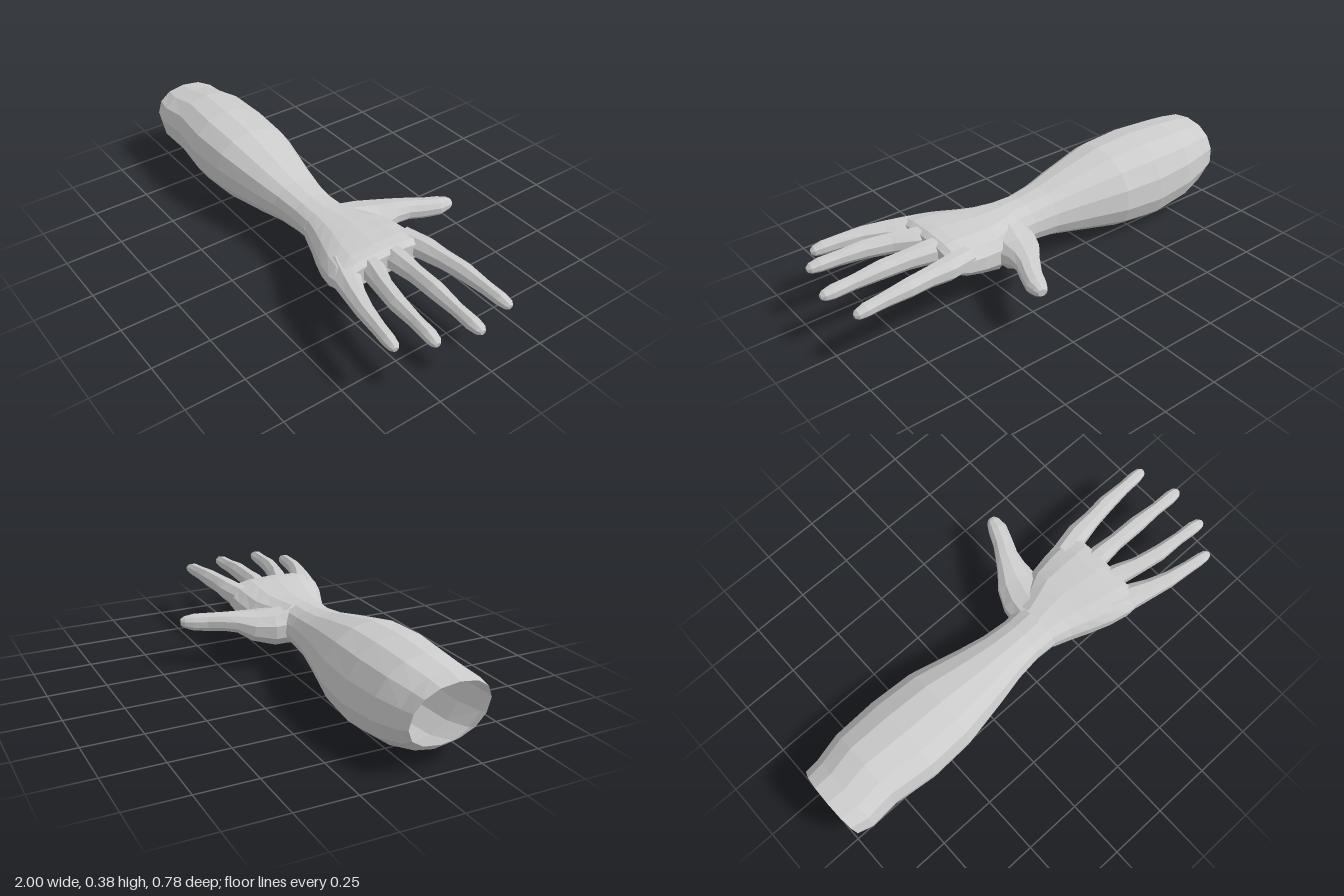
import * as THREE from 'three';

const material = new THREE.MeshStandardMaterial({ color: 0xcccccc, flatShading: true, side: THREE.DoubleSide });
const UP = new THREE.Vector3(0, 1, 0);

// Lofts rings [x, y, z, halfWidth, halfHeight] along their path.
function loft(name, rings, { sides = 8, power = 2, axis = null, shear = 0, slant = 0, capEnd = true } = {}) {
  const centres = rings.map(([x, y, z]) => new THREE.Vector3(x, y, z));
  const pos = [], index = [];
  rings.forEach(([, , , w, h], i) => {
    const t = axis ? axis.clone() : centres[Math.min(i + 1, rings.length - 1)].clone()
      .sub(centres[Math.max(i - 1, 0)]).normalize();
    const side = UP.clone().cross(t).normalize();
    const up = t.clone().cross(side);
    for (let j = 0; j < sides; j++) {
      const a = ((j + 0.5) / sides) * Math.PI * 2;
      const round = (v) => Math.sign(v) * Math.abs(v) ** (2 / power);
      const dv = round(Math.sin(a)) * h;
      const p = centres[i].clone()
        .addScaledVector(side, round(Math.cos(a)) * w - dv * shear)
        .addScaledVector(up, dv);
      if (i === 0) p.x -= dv * slant;
      pos.push(p.x, p.y, p.z);
    }
  });
  for (let i = 0; i < rings.length - 1; i++) {
    for (let j = 0; j < sides; j++) {
      const k = (j + 1) % sides;
      const a = i * sides + j, b = i * sides + k, c = b + sides, d = a + sides;
      index.push(a, b, c, a, c, d);
    }
  }
  if (capEnd) {
    const base = (rings.length - 1) * sides;
    pos.push(...centres[rings.length - 1].toArray());
    for (let j = 0; j < sides; j++) index.push(base + sides, base + j, base + ((j + 1) % sides));
  }
  const geometry = new THREE.BufferGeometry();
  geometry.setAttribute('position', new THREE.Float32BufferAttribute(pos, 3));
  geometry.setIndex(index);
  geometry.computeVertexNormals();
  const mesh = new THREE.Mesh(geometry, material);
  mesh.name = name;
  return mesh;
}

// Turns limits [x, bottom, top, zMin, zMax] into a ring.
const ring = ([x, b, t, z0, z1]) => [x, (b + t) / 2, (z0 + z1) / 2, (z1 - z0) / 2, (t - b) / 2];

export function createModel() {
  const group = new THREE.Group();
  group.name = 'arm';
  const axis = new THREE.Vector3(1, 0, 0);

  // Forearm, open at the elbow end
  const forearm = [
    [-0.98, 0.09, 0.34, -0.05, 0.28],
    [-0.92, 0.055, 0.35, -0.06, 0.295],
    [-0.8, 0.025, 0.372, -0.09, 0.285],
    [-0.61, 0, 0.378, -0.1, 0.305],
    [-0.42, 0.018, 0.368, -0.088, 0.298],
    [-0.2, 0.06, 0.32, -0.035, 0.255],
    [-0.08, 0.085, 0.292, -0.01, 0.228],
    [0.03, 0.095, 0.278, 0, 0.215],
    [0.12, 0.105, 0.277, -0.005, 0.22],
  ].map(ring);
  group.add(loft('forearm', forearm, { sides: 14, power: 2.2, axis, shear: 0.15, slant: 0.16, capEnd: false }));

  // Palm, flattening towards the knuckles
  const palm = [
    [0.12, 0.105, 0.277, -0.005, 0.22],
    [0.2, 0.083, 0.281, -0.045, 0.245],
    [0.27, 0.082, 0.287, -0.085, 0.275],
    [0.36, 0.108, 0.293, -0.1, 0.313],
    [0.44, 0.135, 0.296, -0.105, 0.335],
    [0.485, 0.165, 0.292, -0.105, 0.338],
    [0.51, 0.19, 0.275, -0.085, 0.315],
  ].map(ring);
  group.add(loft('palm', palm, { sides: 14, power: 2.5, axis, shear: 0.05 }));

  // Fingers
  const fingers = {
    indexFinger: [
      [0.42, 0.23, -0.05, 0.05, 0.05], [0.53, 0.235, -0.073, 0.05, 0.05],
      [0.62, 0.24, -0.082, 0.039, 0.043], [0.72, 0.242, -0.094, 0.037, 0.04],
      [0.83, 0.238, -0.099, 0.028, 0.032], [0.91, 0.234, -0.103, 0.028, 0.029],
      [0.945, 0.23, -0.105, 0.022, 0.021], [0.957, 0.228, -0.105, 0.011, 0.011],
    ],
    middleFinger: [
      [0.42, 0.235, 0.06, 0.05, 0.05], [0.53, 0.24, 0.064, 0.046, 0.052],
      [0.62, 0.245, 0.065, 0.036, 0.044], [0.74, 0.247, 0.067, 0.036, 0.041],
      [0.86, 0.24, 0.069, 0.027, 0.032], [0.95, 0.236, 0.07, 0.029, 0.03],
      [0.985, 0.235, 0.07, 0.024, 0.022], [1, 0.234, 0.07, 0.012, 0.011],
    ],
    ringFinger: [
      [0.42, 0.235, 0.155, 0.05, 0.05], [0.52, 0.238, 0.178, 0.046, 0.052],
      [0.61, 0.245, 0.206, 0.036, 0.045], [0.72, 0.25, 0.228, 0.034, 0.04],
      [0.83, 0.25, 0.236, 0.026, 0.033], [0.91, 0.25, 0.242, 0.028, 0.03],
      [0.948, 0.247, 0.246, 0.023, 0.022], [0.962, 0.245, 0.247, 0.012, 0.011],
    ],
    littleFinger: [
      [0.4, 0.23, 0.25, 0.055, 0.05], [0.5, 0.23, 0.286, 0.055, 0.05],
      [0.58, 0.236, 0.315, 0.042, 0.043], [0.67, 0.24, 0.34, 0.034, 0.038],
      [0.77, 0.238, 0.355, 0.027, 0.033], [0.835, 0.236, 0.363, 0.026, 0.03],
      [0.87, 0.233, 0.366, 0.021, 0.022], [0.883, 0.231, 0.368, 0.011, 0.011],
    ],
  };
  for (const [name, rings] of Object.entries(fingers)) group.add(loft(name, rings));

  // Thumb with its fleshy base
  group.add(loft('thumb', [
    [0.16, 0.18, 0.06, 0.1, 0.085], [0.175, 0.172, -0.02, 0.105, 0.08],
    [0.198, 0.18, -0.1, 0.09, 0.064], [0.22, 0.198, -0.16, 0.064, 0.045],
    [0.243, 0.2, -0.215, 0.05, 0.04], [0.275, 0.197, -0.275, 0.044, 0.039],
    [0.3, 0.197, -0.335, 0.042, 0.036], [0.31, 0.2, -0.375, 0.03, 0.025],
    [0.313, 0.2, -0.39, 0.018, 0.015],
  ], { power: 2.2, sides: 10 }));

  return group;
}
